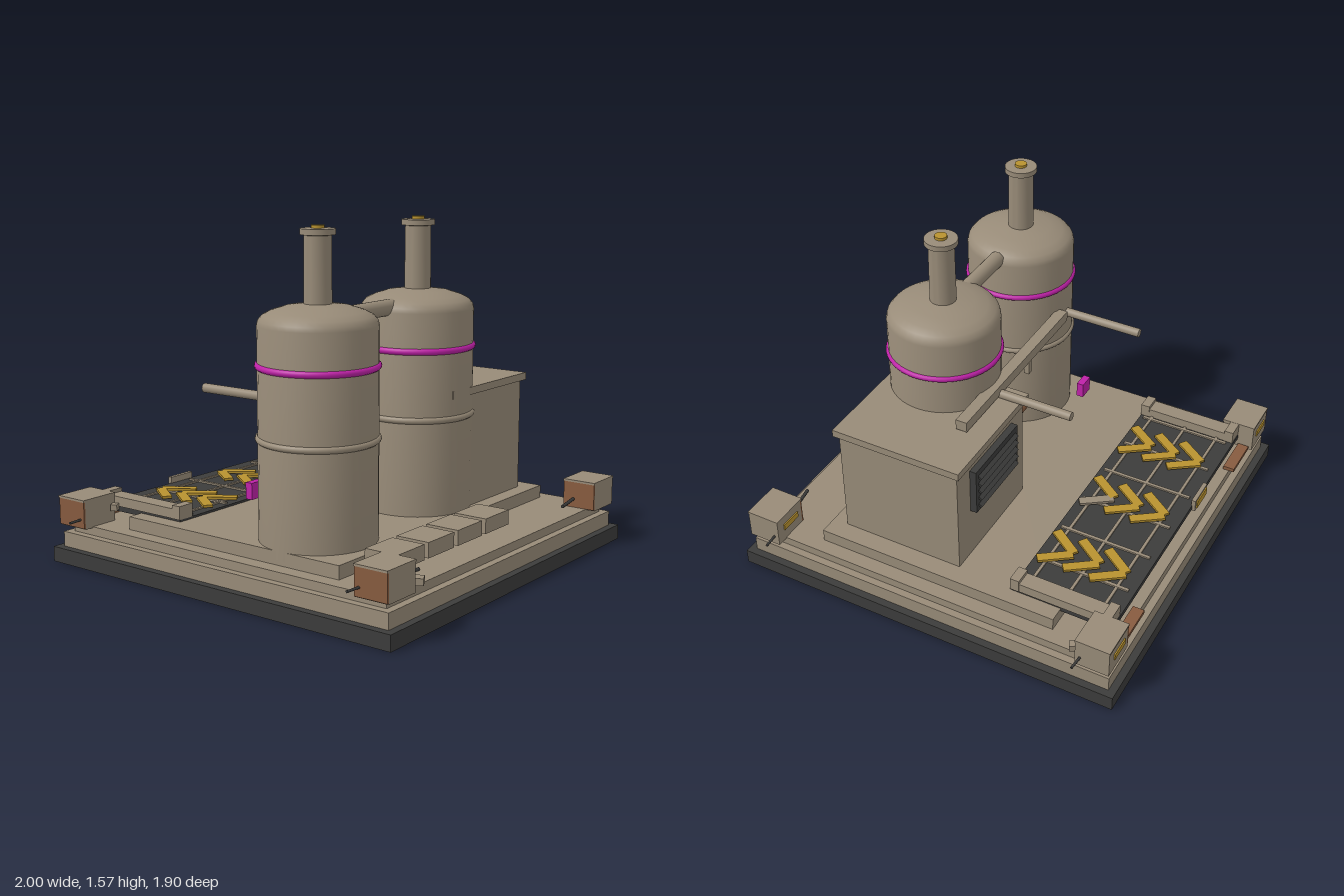
import * as THREE from 'three';
import { toCreasedNormals } from 'three/addons/utils/BufferGeometryUtils.js';

const mat = (name, color) => {
  const m = new THREE.MeshStandardMaterial({ color });
  m.name = name;
  return m;
};

export function createModel() {
  const tan = mat('tan', 0x988b78), dark = mat('charcoal', 0x3c3c3b), magenta = mat('magenta', 0xbf22a8);
  const yellow = mat('yellow', 0xb8922f), copper = mat('copper', 0x875b3f);
  const root = new THREE.Group();
  root.name = 'processingPlant';

  const add = (name, geo, material, parent = root) => {
    const m = new THREE.Mesh(geo, material);
    m.name = name;
    parent.add(m);
    return m;
  };
  // Box given by its extents on each axis
  const box = (name, [x0, x1], [y0, y1], [z0, z1], material = tan, parent = root) => {
    const m = add(name, new THREE.BoxGeometry(x1 - x0, y1 - y0, z1 - z0), material, parent);
    m.position.set((x0 + x1) / 2, (y0 + y1) / 2, (z0 + z1) / 2);
    return m;
  };
  // Cylinder between two points
  const rod = (name, a, b, r, material = tan, parent = root, sides = 20) => {
    const p = new THREE.Vector3(...a), q = new THREE.Vector3(...b), d = q.clone().sub(p);
    const m = add(name, new THREE.CylinderGeometry(r, r, d.length(), sides), material, parent);
    m.position.copy(p).add(q).multiplyScalar(0.5);
    m.quaternion.setFromUnitVectors(new THREE.Vector3(0, 1, 0), d.normalize());
    return m;
  };
  const group = (name) => {
    const g = new THREE.Group();
    g.name = name;
    root.add(g);
    return g;
  };

  // Stepped foundation
  const step = (name, w, d, y0, y1, m) => box(name, [-w, w], [y0, y1], [-d, d], m);
  step('foundation', 0.95, 0.95, 0, 0.07, dark);
  step('lowerStep', 0.915, 0.915, 0.07, 0.14, tan);
  step('middleStep', 0.88, 0.88, 0.14, 0.18, tan);
  step('platform', 0.81, 0.595, 0.18, 0.24, tan);

  // Two domed tanks with chimney, cap and bands
  const profile = [[0, 0.2], [0.257, 0.2], [0.257, 1.16], [0.252, 1.18], [0.235, 1.2], [0.2, 1.218], [0.14, 1.237],
    [0.06, 1.248], [0.058, 1.53], [0.075, 1.533], [0.075, 1.558], [0, 1.56]].map(([x, y]) => new THREE.Vector2(x, y));
  const tankGeo = toCreasedNormals(new THREE.LatheGeometry(profile, 40), 0.6);
  for (const x of [-0.555, 0.175]) {
    const tank = group('tank');
    tank.position.set(x, 0, 0.29);
    add('tankShell', tankGeo, tan, tank);
    for (const [name, y, m] of [['upperBand', 0.99, magenta], ['lowerBand', 0.68, tan]]) {
      const band = add(name, new THREE.TorusGeometry(0.253, 0.015, 10, 48), m, tank);
      band.rotation.x = Math.PI / 2;
      band.position.y = y;
    }
    rod('chimneyLamp', [0, 1.55, 0], [0, 1.572, 0], 0.028, yellow, tank);
    rod('outletPipe', [0, 0.82, -0.25], [0, 0.82, -0.645], 0.021, tan, tank);
  }
  rod('upperPipe', [-0.32, 1.18, 0.29], [0.02, 1.18, 0.29], 0.037);
  rod('lowerPipe', [-0.29, 0.41, 0.125], [0.02, 0.41, 0.125], 0.028, copper);
  box('crossBeam', [-0.49, 0.49], [0.82, 0.87], [0, 0.055]);
  box('beamHanger', [-0.145, -0.12], [0.73, 0.83], [0.015, 0.04]);
  box('valveBox', [-0.595, -0.517], [0.36, 0.435], [-0.085, -0.05], magenta);

  // Machine shed with louvred vent
  const shed = group('shed');
  box('shedWalls', [0.12, 0.72], [0.2, 0.775], [-0.08, 0.52], tan, shed);
  box('shedRoof', [0.1, 0.74], [0.77, 0.805], [-0.1, 0.54], tan, shed);
  box('ventFrame', [0.23, 0.61], [0.49, 0.72], [-0.112, -0.08], dark, shed);
  for (let i = 0; i < 5; i++) {
    const slat = box('ventSlat', [0.25, 0.59], [0, 0.01], [-0.02, 0.02], dark, shed);
    slat.position.set(0.42, 0.525 + i * 0.04, -0.11);
    slat.rotation.x = -0.6;
  }

  // Loading grate with painted chevrons
  const grate = group('loadingGrate');
  box('grateBed', [-0.735, 0.735], [0.225, 0.25], [-0.845, -0.35], dark, grate);
  for (const x of [-0.64, -0.41, -0.18, 0.055, 0.28, 0.51, 0.635]) box('grateBar', [x - 0.008, x + 0.008], [0.245, 0.258], [-0.815, -0.37], tan, grate);
  for (const z of [-0.76, -0.59, -0.41]) box('grateCrossBar', [-0.66, 0.66], [0.245, 0.257], [z - 0.007, z + 0.007], tan, grate);
  for (const s of [-1, 1]) {
    box('grateRail', [s * 0.7 - 0.04, s * 0.7 + 0.04], [0.25, 0.295], [-0.84, -0.35], tan, grate);
    for (const z of [-0.82, -0.37]) box('railEnd', [s * 0.7 - 0.042, s * 0.7 + 0.042], [0.25, 0.312], [z - 0.022, z + 0.022], tan, grate);
  }
  for (const x of [-0.43, 0, 0.43]) for (const z of [-0.62, -0.49, -0.36]) for (const s of [-1, 1]) {
    const worn = x === 0 && z === -0.36 && s === 1;
    const arm = add('chevronArm', new THREE.BoxGeometry(0.045, 0.012, 0.165), worn ? tan : yellow, grate);
    arm.position.set(x + s * 0.052, 0.264, z - 0.078);
    arm.rotation.y = -s * -0.62;
  }
  box('controlBox', [-0.285, -0.14], [0.22, 0.28], [-0.86, -0.84], tan, grate);
  box('controlPlate', [-0.27, -0.155], [0.23, 0.27], [-0.866, -0.86], yellow, grate);

  // Corner posts with copper side panel, yellow sign plate and antenna
  for (const sx of [-1, 1]) for (const sz of [-1, 1]) {
    const post = group('cornerPost');
    post.position.set(sx * 0.837, 0, sz * 0.84);
    box('postBody', [-0.085, 0.095], [0.175, 0.305], [-0.08, 0.08], tan, post);
    box('postLid', [-0.097, 0.097], [0.303, 0.313], [-0.082, 0.082], tan, post);
    box('postPanel', [-0.094, -0.085], [0.18, 0.303], [-0.08, 0.08], copper, post);
    box('postSign', [-0.055, 0.05], [0.235, 0.265], [-0.086, -0.08], yellow, post);
    rod('antenna', [sx * 0.08, 0.22, -sz * 0.055], [sx * 0.163, 0.22, -sz * 0.062], 0.006, dark, post, 8);
  }
  for (const s of [-1, 1]) {
    rod('innerRod', [s * 0.76, 0.22, 0.808], [s * 0.595, 0.218, 0.835], 0.008, dark, root, 8);
    box('copperPlate', [s * 0.635 - 0.1, s * 0.635 + 0.1], [0.18, 0.198], [-0.905, -0.85], copper);
    const bracket = box('bracket', [-0.018, 0.018], [-0.015, 0.015], [-0.015, 0.015]);
    bracket.position.set(s < 0 ? -0.76 : 0.912, 0.25, -0.74);
    bracket.rotation.y = 0.5;
  }
  const block = box('looseBlock', [-0.025, 0.025], [-0.015, 0.015], [-0.02, 0.02]);
  block.position.set(-0.68, 0.205, 0.895);
  block.rotation.y = 0.5;

  // Row of supply crates along the front
  for (let i = 0; i < 4; i++) {
    const x = -0.65 + i * 0.219;
    box('supplyCrate', [x - 0.095, x + 0.095], [0.245, 0.312], [0.675, 0.835]);
  }
  return root;
}
